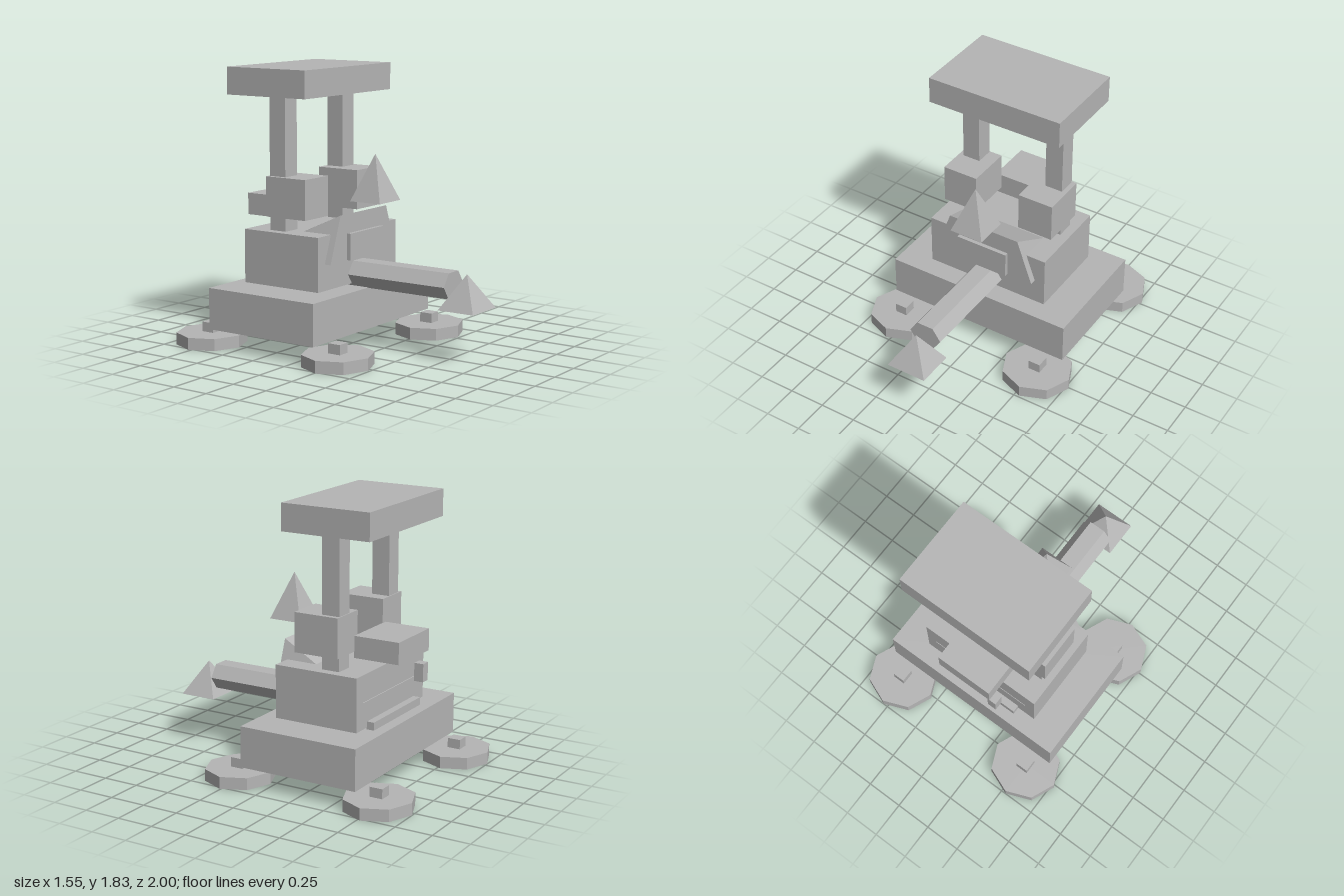
import * as THREE from 'three';

export function createModel() {
  const group = new THREE.Group();
  const grey = new THREE.MeshStandardMaterial({ color: 0xb5b5b5 });
  grey.name = 'plain grey';

  // Facet a geometry so every side is flat, then add it as a named part
  const add = (name, geometry) => {
    const flat = geometry.index ? geometry.toNonIndexed() : geometry;
    flat.computeVertexNormals();
    const mesh = new THREE.Mesh(flat, grey);
    mesh.name = name;
    group.add(mesh);
  };

  // Box given by its limits on each axis
  const boxGeometry = (x0, x1, y0, y1, z0, z1) =>
    new THREE.BoxGeometry(x1 - x0, y1 - y0, z1 - z0)
      .translate((x0 + x1) / 2, (y0 + y1) / 2, (z0 + z1) / 2);
  const box = (name, ...limits) => add(name, boxGeometry(...limits));

  // Square pyramid with sides facing the axes
  const pyramid = (name, halfX, halfZ, y0, y1, z) =>
    add(name, new THREE.ConeGeometry(Math.SQRT2, y1 - y0, 4)
      .rotateY(Math.PI / 4)
      .scale(halfX, 1, halfZ)
      .translate(0, (y0 + y1) / 2, z));

  // Chassis and body
  box('chassis', -0.667, 0.667, 0.13, 0.405, -0.675, 0.165);
  box('body', -0.443, 0.443, 0.42, 0.775, -0.553, 0.04);
  box('roof', -0.48, 0.48, 1.65, 1.83, -0.657, -0.032);

  // Wedge through the body: top narrows and slopes down to a thin back edge
  const wedge = boxGeometry(-0.37, 0.37, 0.592, 0.898, -0.556, 0.085);
  const p = wedge.attributes.position;
  for (let i = 0; i < p.count; i++) {
    if (p.getY(i) < 0.7) continue;
    if (p.getZ(i) > 0) p.setX(i, Math.sign(p.getX(i)) * 0.26);
    else p.setY(i, 0.596);
  }
  add('slopedHood', wedge);
  box('frontPanel', -0.187, 0.187, 0.597, 0.772, 0.08, 0.112);

  // Rear details
  box('rearBox', -0.203, 0.203, 0.825, 0.97, -0.715, -0.395);
  box('rearBar', -0.31, 0.31, 0.408, 0.46, -0.603, -0.55);
  box('rearHandle', -0.235, -0.17, 0.613, 0.735, -0.695, -0.63);

  // Barrel and its pointed tip
  add('barrel', new THREE.CylinderGeometry(0.115, 0.115, 0.768, 6)
    .rotateY(Math.PI / 6)
    .rotateX(Math.PI / 2)
    .scale(1, 0.84, 1)
    .translate(0, 0.485, 0.389));
  pyramid('barrelTip', 0.14, 0.128, 0.343, 0.565, 0.872);
  pyramid('frontSpike', 0.118, 0.116, 0.97, 1.275, 0.175);

  // Mirrored posts, shoulder blocks and wheels
  for (const [side, s] of [['left', 1], ['right', -1]]) {
    const mirroredBox = (name, x0, x1, ...rest) =>
      box(name, Math.min(s * x0, s * x1), Math.max(s * x0, s * x1), ...rest);
    mirroredBox(side + 'Post', 0.255, 0.38, 0.405, 1.65, -0.39, -0.265);
    mirroredBox(side + 'Block', 0.163, 0.413, 0.867, 1.13, -0.397, -0.084);

    for (const [end, z] of [['Front', 0.258], ['Back', -0.769]]) {
      add(side + end + 'Wheel', new THREE.CylinderGeometry(1, 1, 0.08, 8)
        .scale(0.24, 1, 0.23)
        .translate(s * 0.533, 0.04, z));
      mirroredBox(side + end + 'WheelStub', 0.491, 0.575, 0.078, 0.145, z - 0.045, z + 0.045);
    }
  }
  return group;
}
